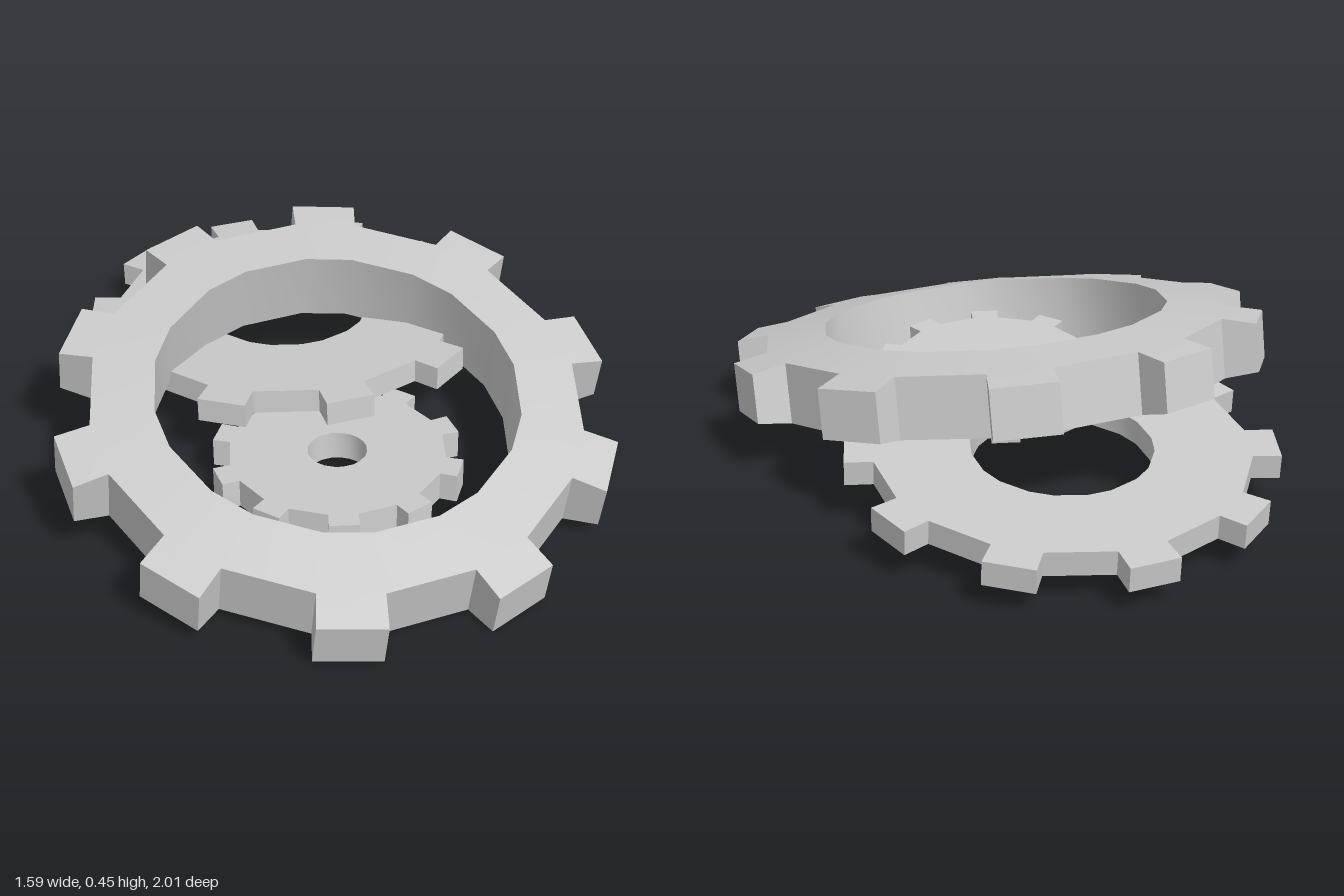
import * as THREE from 'three';
import { toCreasedNormals } from 'three/addons/utils/BufferGeometryUtils.js';

const deg = THREE.MathUtils.degToRad;
const TEETH = 10;

// Gear lying in the xz plane; hole, root and tip are [radius, half thickness]
function gearGeometry(hole, root, tip, phase) {
  const positions = [];
  const quad = (a, b, c, d) => [a, b, c, a, c, d].forEach((p) => positions.push(...p));
  const corner = ([r, h], angle) => {
    const a = deg(angle);
    return { top: [r * Math.sin(a), h, r * Math.cos(a)], bottom: [r * Math.sin(a), -h, r * Math.cos(a)] };
  };
  // Top and bottom faces between an inner and an outer edge
  const faces = (in0, out0, out1, in1) => {
    quad(in0.top, out0.top, out1.top, in1.top);
    quad(in1.bottom, out1.bottom, out0.bottom, in0.bottom);
  };
  const wall = (p, q) => quad(p.top, p.bottom, q.bottom, q.top);

  const step = 360 / TEETH, base = 7.5, crest = 6.8;
  for (let i = 0; i < TEETH; i++) {
    const a = phase + i * step;
    const angles = [a - base, a + base, a + step - base];
    const [h0, h1, h2] = angles.map((t) => corner(hole, t));
    const [r0, r1, r2] = angles.map((t) => corner(root, t));
    const t0 = corner(tip, a - crest), t1 = corner(tip, a + crest);
    // ring under the tooth, ring under the gap, then the tooth
    faces(h0, r0, r1, h1);
    faces(h1, r1, r2, h2);
    faces(r0, t0, t1, r1);
    // outer outline
    wall(r0, t0);
    wall(t0, t1);
    wall(t1, r1);
    wall(r1, r2);
    // wall of the hole
    wall(h1, h0);
    wall(h2, h1);
  }
  const geometry = new THREE.BufferGeometry();
  geometry.setAttribute('position', new THREE.Float32BufferAttribute(positions, 3));
  return toCreasedNormals(geometry, deg(28));
}

export function createModel() {
  const group = new THREE.Group();
  const material = new THREE.MeshStandardMaterial({ color: 0xcccccc });

  const addGear = (name, { hole, root, tip, phase, position, tilt }) => {
    const mesh = new THREE.Mesh(gearGeometry(hole, root, tip, phase), material);
    mesh.name = name;
    mesh.position.set(...position);
    mesh.rotation.set(deg(tilt[0]), 0, deg(tilt[1]));
    group.add(mesh);
  };

  // Wide ring gear, thicker towards its hole
  addGear('largeGear', {
    hole: [0.52, 0.115], root: [0.7, 0.089], tip: [0.8, 0.072],
    phase: -3, position: [0, 0.224, 0.21], tilt: [11, -3],
  });
  // Flat gear at the back, reaching under the ring
  addGear('mediumGear', {
    hole: [0.255, 0.036], root: [0.525, 0.036], tip: [0.605, 0.036],
    phase: 13, position: [-0.085, 0.152, -0.405], tilt: [-5.7, 0.5],
  });
  // Small gear inside the ring
  addGear('smallGear', {
    hole: [0.085, 0.043], root: [0.31, 0.043], tip: [0.36, 0.043],
    phase: -3, position: [0, 0.11, 0.285], tilt: [-4, 0],
  });
  return group;
}
